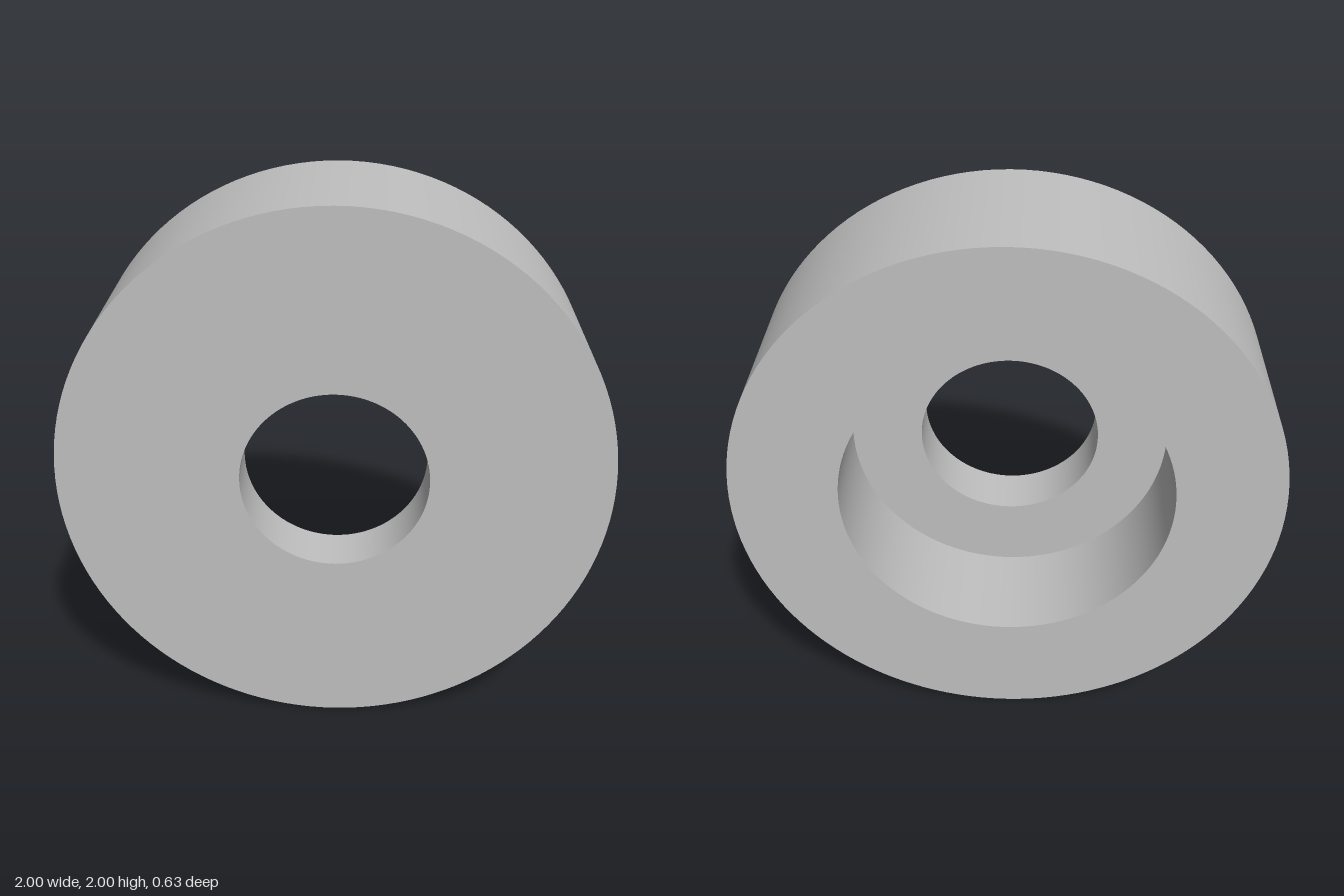
import * as THREE from 'three';
import { mergeGeometries } from 'three/addons/utils/BufferGeometryUtils.js';

const OUTER = 1, BORE = 0.34, RECESS = 0.605;   // radii
const HALF = 0.315, FLOOR = 0.105;              // half thickness, z of the recess floor

// Revolve each edge of a closed profile on its own, so corners stay sharp
function revolve(profile, segments = 128) {
  const edges = profile.map((p, i) => {
    const q = profile[(i + 1) % profile.length];
    return new THREE.LatheGeometry([new THREE.Vector2(...p), new THREE.Vector2(...q)], segments);
  });
  return mergeGeometries(edges).rotateX(Math.PI / 2); // axis along z
}

export function createModel() {
  const group = new THREE.Group();
  group.name = 'counterboredRing';

  const greyMetal = new THREE.MeshStandardMaterial({ color: 0xc0c0c0 });
  greyMetal.name = 'greyMetal';

  // Ring section as (radius, z): rim, front face, bore, recess floor, recess wall, back face
  const ring = new THREE.Mesh(revolve([
    [OUTER, -HALF], [OUTER, HALF], [BORE, HALF],
    [BORE, FLOOR], [RECESS, FLOOR], [RECESS, -HALF],
  ]), greyMetal);
  ring.name = 'ring';
  ring.position.y = OUTER;
  group.add(ring);

  return group;
}
